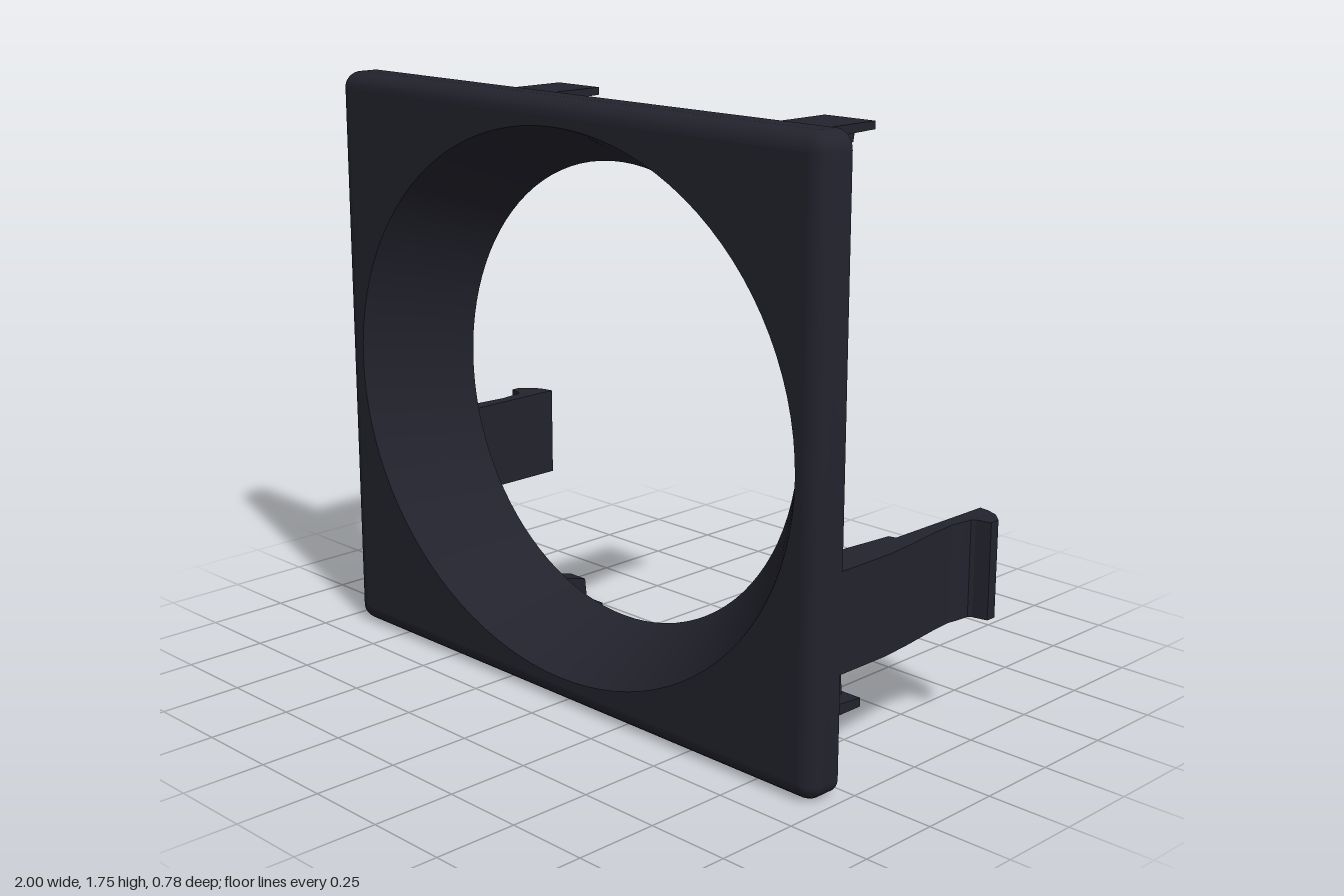
import * as THREE from 'three';
import { toCreasedNormals } from 'three/addons/utils/BufferGeometryUtils.js';

const CY = 0.878, HALF_W = 0.97, HALF_H = 0.877, CORNER = 0.05;

// Counter-clockwise rounded rectangle, inset from the bezel outline
function rectLoop(inset, z) {
  const r = Math.max(CORNER - inset, 0.002);
  const cx = HALF_W - inset - r, cy = HALF_H - inset - r, pts = [];
  [[1, 1], [-1, 1], [-1, -1], [1, -1]].forEach(([sx, sy], q) => {
    for (let i = 0; i <= 6; i++) {
      const a = (q + i / 6) * Math.PI / 2;
      pts.push(new THREE.Vector3(sx * cx + r * Math.cos(a), CY + sy * cy + r * Math.sin(a), z));
    }
  });
  return pts;
}

function ellipseLoop(rx, ry, z, n = 96) {
  return Array.from({ length: n }, (_, i) => {
    const a = i / n * Math.PI * 2;
    return new THREE.Vector3(rx * Math.cos(a), CY + ry * Math.sin(a), z);
  });
}

// Skin a series of closed loops
function loft(loops) {
  const n = loops[0].length, pos = [], index = [];
  loops.forEach(l => l.forEach(p => pos.push(p.x, p.y, p.z)));
  for (let k = 0; k < loops.length - 1; k++) {
    for (let i = 0; i < n; i++) {
      const j = (i + 1) % n, a = k * n + i, c = k * n + j;
      index.push(a, a + n, c, c, a + n, c + n);
    }
  }
  const g = new THREE.BufferGeometry();
  g.setAttribute('position', new THREE.Float32BufferAttribute(pos, 3));
  g.setIndex(index);
  return toCreasedNormals(g, 0.6);
}

// Flat face bounded by a loop, with the elliptical opening cut out
function faceWithOpening(loop, rx, ry) {
  const shape = new THREE.Shape(loop.map(p => new THREE.Vector2(p.x, p.y - CY)));
  shape.holes.push(new THREE.Path(ellipseLoop(rx, ry, 0).map(p => new THREE.Vector2(p.x, p.y - CY))));
  return new THREE.ShapeGeometry(shape);
}

function extrude(points, depth) {
  const shape = new THREE.Shape(points.map(([x, y]) => new THREE.Vector2(x, y)));
  return new THREE.ExtrudeGeometry(shape, { depth, bevelEnabled: false });
}

// Profile given as [z, y], thickened along x around centre x
function alongX(points, x, width) {
  return extrude(points, width).rotateY(-Math.PI / 2).translate(x + width / 2, 0, 0);
}

// Profile given as [x, z], thickened upwards from y0 to y1
function alongY(points, side, y0, y1) {
  return extrude(points.map(([x, z]) => [side * x, -z]), y1 - y0)
    .rotateX(-Math.PI / 2).translate(0, y0, 0);
}

export function createModel() {
  const group = new THREE.Group();
  const plastic = new THREE.MeshStandardMaterial({ color: 0x23232e });
  plastic.name = 'dark plastic';
  const add = (name, geometry) => {
    const mesh = new THREE.Mesh(geometry, plastic);
    mesh.name = name;
    group.add(mesh);
    return mesh;
  };

  // Bezel shell: rounded front edge, straight side, back rim and recess wall
  const loops = [];
  for (let i = 0; i <= 6; i++) {
    const a = i / 6 * Math.PI / 2;
    loops.push(rectLoop(0.05 * (1 - Math.sin(a)), 0.34 + 0.05 * Math.cos(a)));
  }
  loops.push(rectLoop(0, 0.285), rectLoop(0.05, 0.285), rectLoop(0.05, 0.33));
  add('bezelEdge', loft(loops));
  add('bezelFront', faceWithOpening(rectLoop(0.05, 0), 0.895, 0.8)).position.set(0, CY, 0.39);
  const back = add('bezelRecess', faceWithOpening(rectLoop(0.05, 0), 0.895, 0.8));
  back.position.set(0, CY, 0.33);
  back.rotation.y = Math.PI;

  // Funnel narrowing from the oval front opening to the round rear opening
  add('funnel', loft([
    ellipseLoop(0.91, 0.812, 0.33), ellipseLoop(0.73, 0.73, 0.13),
    ellipseLoop(0.677, 0.677, 0.13), ellipseLoop(0.895, 0.8, 0.39),
  ]));

  for (const side of [1, -1]) {
    const x = side * 0.545;

    // Upper tab and its tapered rib
    add('upperTab', alongX([[0.33, 1.7], [-0.205, 1.7], [-0.205, 1.677], [0.33, 1.663]], x, 0.18));
    add('upperTabRib', alongX([[0.33, 1.69], [-0.19, 1.69], [-0.18, 1.64], [0.33, 1.503]], x, 0.07));

    // Lower tab and its tapered rib
    add('lowerTab', alongX([[0.33, 0.003], [-0.205, 0.003], [-0.205, 0.03], [0.05, 0.05], [0.33, 0.057]], x, 0.18));
    add('lowerTabRib', alongX([[0.33, 0.01], [-0.19, 0.01], [-0.18, 0.105], [0.33, 0.24]], x, 0.07));

    // Side arm ending in an outward hook
    add('clipArm', alongY([
      [0.97, 0.33], [0.97, 0.1], [0.96, 0], [0.943, -0.13], [0.936, -0.21], [0.942, -0.25],
      [0.945, -0.285], [0.955, -0.293], [1, -0.303], [1, -0.335], [0.965, -0.37], [0.93, -0.385],
      [0.897, -0.39], [0.897, -0.02], [0.875, -0.015], [0.84, 0.33],
    ], side, 0.342, 0.626));

    // Gusset inside the arm
    add('clipRib', alongY([
      [0.91, -0.015], [0.875, -0.015], [0.865, 0.01], [0.82, 0.05], [0.785, 0.18], [0.755, 0.33], [0.91, 0.33],
    ], side, 0.45, 0.52));
  }

  return group;
}
